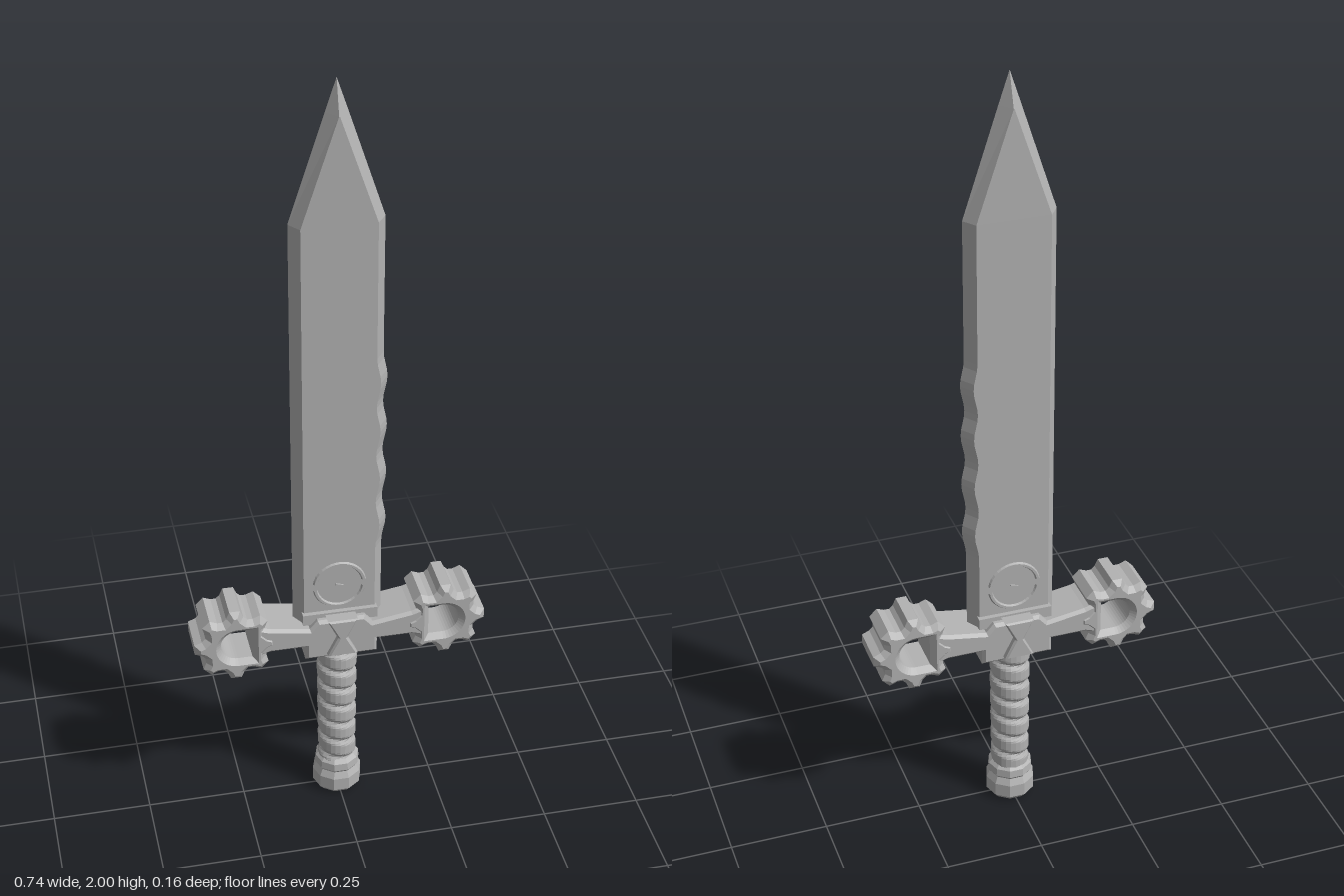
import * as THREE from 'three';

const steel = new THREE.MeshStandardMaterial({ color: 0xb2b2b2, flatShading: true });
steel.name = 'grey steel';

function part(name, geometry, parent) {
  const mesh = new THREE.Mesh(geometry, steel);
  mesh.name = name;
  parent.add(mesh);
  return mesh;
}

// Extrusion centred on z = 0 whose bevel stays inside the outline
function plate(shape, halfDepth, bevel) {
  const geometry = new THREE.ExtrudeGeometry(shape, {
    depth: 2 * (halfDepth - bevel), bevelEnabled: true, bevelSegments: 1,
    bevelSize: bevel, bevelThickness: bevel, bevelOffset: -bevel, curveSegments: 10,
  });
  return geometry.translate(0, 0, bevel - halfDepth);
}

function polygon(points) {
  return new THREE.Shape(points.map(([x, y]) => new THREE.Vector2(x, y)));
}

// Six-sided blade sections, with a rippled edge on the left side
function bladeGeometry() {
  const rows = [];
  const addRow = (y, outer, inner, z, wave = 0) => rows.push([
    [-outer, y, 0], [-inner, y, z], [inner + wave, y, z],
    [outer + wave, y, 0], [inner + wave, y, -z], [-inner, y, -z],
  ]);
  addRow(0.54, 0.113, 0.09, 0.033);
  const start = 0.76, pitch = 0.135;
  for (let i = 0; i <= 32; i++) {
    const wave = 0.005 * (1 - Math.cos(i * Math.PI / 4));
    addRow(start + i * pitch / 8, 0.113, 0.09, 0.033, wave);
  }
  addRow(1.655, 0.113, 0.09, 0.033);
  addRow(1.92, 0.0266, 0.001, 0.031);
  addRow(2, 0, 0, 0);

  const positions = [];
  for (let i = 0; i < rows.length - 1; i++) {
    for (let j = 0; j < 6; j++) {
      const k = (j + 1) % 6;
      const a = rows[i][j], b = rows[i][k], c = rows[i + 1][k], d = rows[i + 1][j];
      positions.push(...a, ...b, ...c, ...a, ...c, ...d);
    }
  }
  const geometry = new THREE.BufferGeometry();
  geometry.setAttribute('position', new THREE.Float32BufferAttribute(positions, 3));
  geometry.computeVertexNormals();
  return geometry;
}

// Eight-toothed wheel with a D-shaped hole, flat towards the blade
function gearGeometry() {
  const points = [];
  const at = (r, a) => points.push([r * Math.cos(a), r * Math.sin(a)]);
  for (let i = 0; i < 8; i++) {
    const a = i * Math.PI / 4;
    at(0.104, a - 0.13);
    at(0.104, a + 0.13);
    at(0.087, a + 0.25);
    at(0.081, a + Math.PI / 8);
    at(0.087, a + Math.PI / 4 - 0.25);
  }
  const shape = polygon(points);
  const hole = new THREE.Path();
  hole.moveTo(-0.042, -0.042);
  hole.lineTo(-0.005, -0.042);
  hole.absarc(-0.005, 0, 0.042, -Math.PI / 2, Math.PI / 2, false);
  hole.lineTo(-0.042, 0.042);
  hole.closePath();
  shape.holes.push(hole);
  return plate(shape, 0.065, 0.014);
}

// Cylinder with one spiral groove cut into it
function gripGeometry() {
  const geometry = new THREE.CylinderGeometry(0.052, 0.049, 0.38, 24, 72);
  const p = geometry.attributes.position;
  for (let i = 0; i < p.count; i++) {
    const x = p.getX(i), y = p.getY(i), z = p.getZ(i);
    const phase = y / 0.057 + Math.atan2(x, z) / (2 * Math.PI);
    const t = phase - Math.floor(phase);
    const s = 1 - 0.17 * Math.max(0, 1 - Math.min(t, 1 - t) / 0.22);
    p.setXYZ(i, x * s, y, z * s);
  }
  geometry.computeVertexNormals();
  return geometry;
}

export function createModel() {
  const sword = new THREE.Group();
  sword.name = 'sword';

  part('blade', bladeGeometry(), sword);

  // Crossguard bar with a deeper middle
  const half = [[0.092, 0.46], [0.092, 0.498], [0.18, 0.498], [0.215, 0.488],
    [0.215, 0.578], [0.18, 0.568], [0.08, 0.552], [0.06, 0.575]];
  const mirrored = half.map(([x, y]) => [-x, y]).reverse();
  part('crossguard', plate(polygon([...half, ...mirrored]), 0.062, 0.008), sword);
  part('collar', new THREE.BoxGeometry(0.19, 0.03, 0.09), sword).position.y = 0.572;

  // Toothed wheels at both ends of the guard
  for (const side of [1, -1]) {
    const gear = part(side > 0 ? 'leftGear' : 'rightGear', gearGeometry(), sword);
    gear.position.set(side * 0.268, 0.53, 0);
    if (side < 0) gear.rotation.y = Math.PI;
  }

  // Hourglass block standing proud on both faces of the guard
  part('guardClasp', plate(polygon([
    [-0.038, 0.475], [0.038, 0.475], [0.012, 0.528], [0.038, 0.582],
    [-0.038, 0.582], [-0.012, 0.528],
  ]), 0.08, 0.005), sword);

  // Ring and pin on both faces of the blade
  for (const side of [1, -1]) {
    const medallion = new THREE.Group();
    medallion.name = side > 0 ? 'frontMedallion' : 'backMedallion';
    medallion.position.set(0, 0.663, side * 0.033);
    if (side < 0) medallion.rotation.y = Math.PI;
    for (const turn of [0.15, Math.PI + 0.15]) {
      part('ringArc', new THREE.TorusGeometry(0.062, 0.006, 6, 16, 2.85), medallion).rotation.z = turn;
    }
    part('pin', new THREE.BoxGeometry(0.02, 0.004, 0.008), medallion).rotation.z = -0.3;
    sword.add(medallion);
  }

  part('grip', gripGeometry(), sword).position.y = 0.28;

  // Faceted pommel
  const profile = [[0, 0], [0.052, 0], [0.064, 0.014], [0.064, 0.05], [0.055, 0.068],
    [0.059, 0.074], [0.057, 0.094], [0.047, 0.104], [0, 0.104]];
  const pommel = part('pommel', new THREE.LatheGeometry(
    profile.map(([r, y]) => new THREE.Vector2(r, y)), 10), sword);
  pommel.rotation.y = Math.PI / 10;

  return sword;
}
